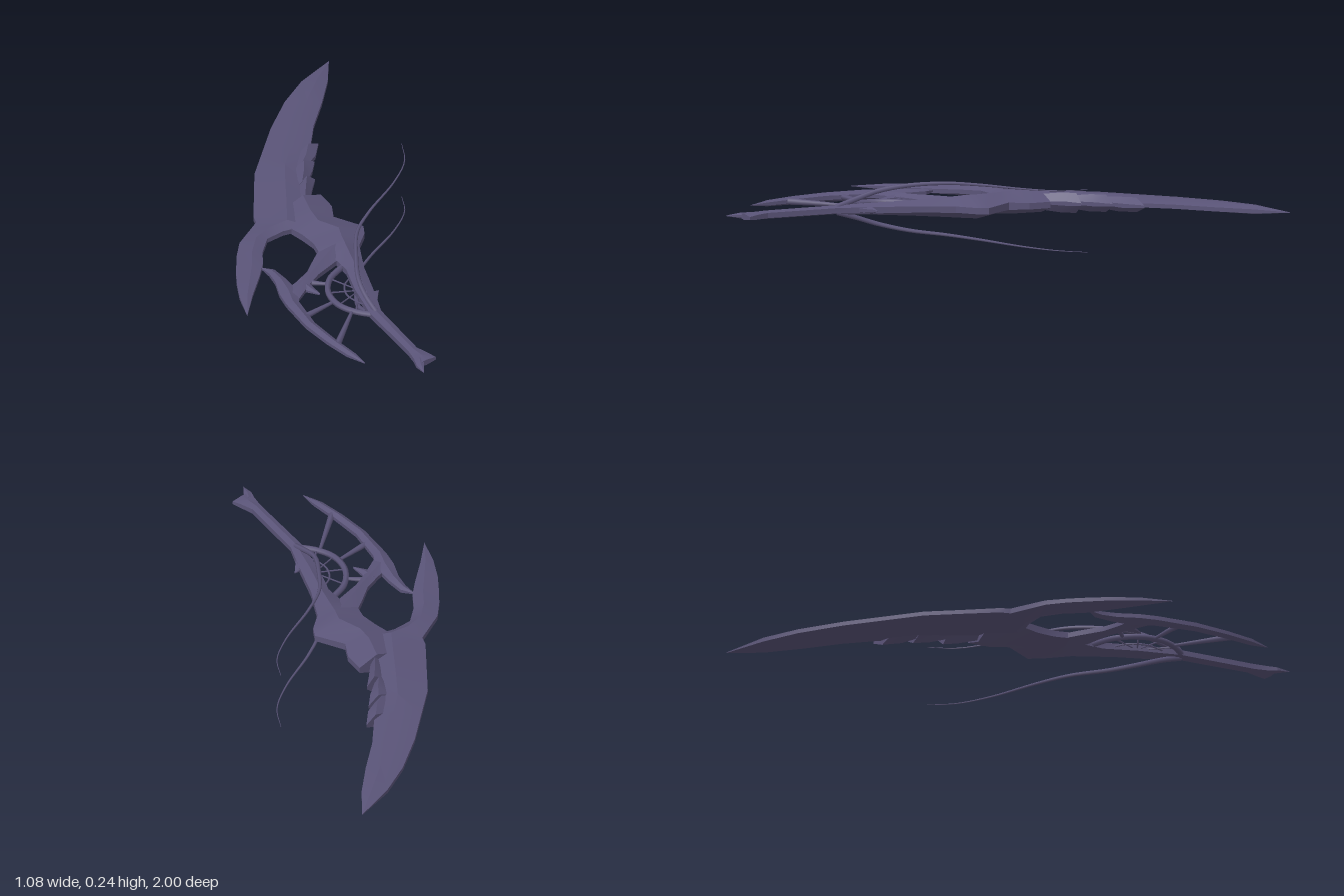
import * as THREE from 'three';
import { toCreasedNormals } from 'three/addons/utils/BufferGeometryUtils.js';

const MID = 0.12; // height of the weapon's flat plane

// Ridged plate: each row is [leftX, leftZ, rightX, rightZ, edge half-thickness, ridge half-thickness]
function ridgedPlate(rows, ridge = 0.5) {
  const pos = [];
  const idx = [];
  for (const [lx, lz, rx, rz, e, h] of rows) {
    const mx = lx + (rx - lx) * ridge;
    const mz = lz + (rz - lz) * ridge;
    pos.push(lx, MID + e, lz, mx, MID + h, mz, rx, MID + e, rz);
    pos.push(rx, MID - e, rz, mx, MID - h, mz, lx, MID - e, lz);
  }
  const last = (rows.length - 1) * 6;
  for (let i = 0; i < last; i += 6) {
    for (let j = 0; j < 6; j++) {
      const k = (j + 1) % 6;
      idx.push(i + j, i + 6 + j, i + 6 + k, i + j, i + 6 + k, i + k);
    }
  }
  for (let j = 1; j < 5; j++) idx.push(0, j, j + 1, last, last + j + 1, last + j);
  const g = new THREE.BufferGeometry();
  g.setAttribute('position', new THREE.Float32BufferAttribute(pos, 3));
  g.setIndex(idx);
  return toCreasedNormals(g, 0.35);
}

// Tube through points whose radius runs from r0 to r1
function taperedTube(points, r0, r1, segments = 16, sides = 6) {
  const curve = new THREE.CatmullRomCurve3(points.map((p) => new THREE.Vector3(...p)));
  const g = new THREE.TubeGeometry(curve, segments, 1, sides, false);
  const p = g.attributes.position;
  const v = new THREE.Vector3();
  for (let i = 0; i < p.count; i++) {
    const t = Math.floor(i / (sides + 1)) / segments;
    const c = curve.getPointAt(t);
    v.fromBufferAttribute(p, i).sub(c).multiplyScalar(r0 + (r1 - r0) * t).add(c);
    p.setXYZ(i, v.x, v.y, v.z);
  }
  return g;
}

export function createModel() {
  const group = new THREE.Group();
  const metal = new THREE.MeshStandardMaterial({ color: 0x5a5478 });
  metal.name = 'dusk violet metal';
  const add = (name, geometry) => {
    const mesh = new THREE.Mesh(geometry, metal);
    mesh.name = name;
    group.add(mesh);
  };
  const flat = (pts) => pts.map(([x, z]) => [x, MID, z]);

  // Main blade sweeping into the rear horn
  add('blade', ridgedPlate([
    [0.54, -1, 0.54, -1, 0.001, 0.001],
    [0.38, -0.92, 0.47, -0.88, 0.008, 0.017],
    [0.26, -0.83, 0.38, -0.76, 0.008, 0.019],
    [0.13, -0.7, 0.28, -0.64, 0.008, 0.02],
    [0.03, -0.58, 0.2, -0.52, 0.008, 0.021],
    [-0.07, -0.46, 0.13, -0.43, 0.008, 0.024],
    [-0.14, -0.335, 0.08, -0.33, 0.008, 0.027],
    [-0.21, -0.21, 0.03, -0.22, 0.009, 0.03],
    [-0.22, -0.17, -0.06, -0.06, 0.01, 0.03],
    [-0.26, -0.14, -0.16, -0.07, 0.01, 0.026],
    [-0.34, -0.08, -0.235, -0.055, 0.009, 0.024],
    [-0.39, -0.01, -0.29, 0.01, 0.008, 0.02],
    [-0.43, 0.06, -0.33, 0.085, 0.008, 0.017],
    [-0.47, 0.135, -0.38, 0.15, 0.007, 0.014],
    [-0.51, 0.235, -0.46, 0.245, 0.006, 0.012],
    [-0.54, 0.35, -0.54, 0.35, 0.001, 0.001],
  ], 0.6));

  // Overlapping toothed scales on the inner edge
  const scales = [
    [0.13, -0.5, 0.24, -0.53, 0.19, -0.46, 0.06, -0.4, 0.12, -0.41],
    [0.06, -0.41, 0.17, -0.43, 0.13, -0.375, 0.03, -0.31, 0.07, -0.31],
    [0.03, -0.31, 0.115, -0.325, 0.08, -0.28, -0.02, -0.2, 0.03, -0.21],
  ];
  scales.forEach(([ax, az, bx, bz, cx, cz, dx, dz, ex, ez], i) => {
    const h = 0.028 + i * 0.005;
    add('scale' + (i + 1), ridgedPlate([
      [ax, az, bx, bz, 0.005, h],
      [(ax + dx) / 2, (az + dz) / 2, cx, cz, 0.008, h],
      [dx, dz, ex, ez, 0.006, h - 0.008],
    ], 0.55));
  });

  // Hub, arm and grip
  add('hubAndGrip', ridgedPlate([
    [-0.08, -0.2, 0.08, -0.215, 0.012, 0.04],
    [-0.13, -0.08, 0.08, -0.13, 0.012, 0.044],
    [-0.11, -0.01, 0.05, -0.06, 0.014, 0.04],
    [-0.1, 0.06, 0.12, 0.045, 0.012, 0.046],
    [-0.11, 0.12, 0.1, 0.09, 0.012, 0.043],
    [-0.08, 0.18, 0.045, 0.15, 0.012, 0.038],
    [-0.075, 0.27, -0.01, 0.29, 0.012, 0.03],
    [-0.11, 0.4, -0.045, 0.42, 0.012, 0.024],
    [-0.125, 0.5, -0.068, 0.5, 0.011, 0.02],
    [-0.135, 0.56, -0.09, 0.57, 0.01, 0.017],
    [-0.13, 0.86, -0.09, 0.85, 0.01, 0.016],
    [-0.135, 0.91, -0.07, 0.9, 0.009, 0.015],
    [-0.145, 0.95, -0.055, 0.935, 0.006, 0.012],
  ]));
  add('pommelProng', ridgedPlate([
    [-0.137, 0.92, -0.095, 0.92, 0.006, 0.013],
    [-0.145, 0.95, -0.11, 0.945, 0.006, 0.011],
    [-0.14, 1, -0.14, 1, 0.001, 0.001],
  ]));
  add('armSpike', ridgedPlate([
    [-0.025, 0.435, -0.025, 0.435, 0.001, 0.001],
    [-0.07, 0.44, -0.04, 0.455, 0.006, 0.013],
    [-0.085, 0.47, -0.065, 0.495, 0.006, 0.012],
  ]));

  // Branch from the hub to the guard, with its small hook
  add('guardBranch', ridgedPlate([
    [-0.04, 0.05, 0.02, 0.16, 0.01, 0.034],
    [-0.14, 0.14, -0.08, 0.2, 0.01, 0.028],
    [-0.21, 0.21, -0.18, 0.245, 0.009, 0.022],
    [-0.28, 0.25, -0.245, 0.29, 0.008, 0.02],
    [-0.35, 0.28, -0.32, 0.35, 0.006, 0.015],
  ]));
  add('branchHook', ridgedPlate([
    [-0.28, 0.25, -0.235, 0.25, 0.006, 0.015],
    [-0.268, 0.31, -0.235, 0.3, 0.005, 0.012],
    [-0.235, 0.355, -0.23, 0.35, 0.002, 0.003],
  ]));

  // Crescent knuckle guard
  add('crescentGuard', ridgedPlate([
    [-0.345, 0.09, -0.345, 0.09, 0.002, 0.002],
    [-0.338, 0.15, -0.308, 0.135, 0.007, 0.014],
    [-0.345, 0.21, -0.3, 0.21, 0.008, 0.018],
    [-0.37, 0.29, -0.3, 0.3, 0.008, 0.02],
    [-0.38, 0.36, -0.33, 0.37, 0.008, 0.02],
    [-0.383, 0.52, -0.345, 0.52, 0.008, 0.018],
    [-0.365, 0.65, -0.328, 0.66, 0.007, 0.016],
    [-0.34, 0.76, -0.308, 0.77, 0.006, 0.012],
    [-0.305, 0.84, -0.303, 0.835, 0.001, 0.001],
  ]));

  // Finger ring, struts and web
  const ring = [[-0.07, 0.23], [-0.15, 0.28], [-0.2, 0.36], [-0.205, 0.45], [-0.17, 0.52], [-0.12, 0.57]];
  add('fingerRing', taperedTube(flat(ring), 0.012, 0.012, 20));
  const struts = [
    [[-0.365, 0.46], [-0.205, 0.42]],
    [[-0.335, 0.68], [-0.18, 0.51]],
    [[-0.25, 0.25], [-0.17, 0.31]],
  ];
  struts.forEach((s, i) => add('guardStrut' + (i + 1), taperedTube(flat(s), 0.013, 0.006, 4)));
  ring.slice(1, 5).forEach((p, i) =>
    add('webThread' + (i + 1), taperedTube(flat([p, [-0.09, 0.4]]), 0.004, 0.003, 2, 4)));
  const webArc = [[-0.08, 0.31], [-0.12, 0.34], [-0.145, 0.4], [-0.135, 0.46], [-0.11, 0.51]];
  add('webArc', taperedTube(flat(webArc), 0.004, 0.004, 12, 4));

  // Paired whip-like tendrils above and below
  for (const side of [1, -1]) {
    const path = [
      [-0.11, 0.01, 0.57], [-0.112, 0.035, 0.49], [-0.1, 0.062, 0.41], [-0.05, 0.086, 0.3],
      [0.02, 0.098, 0.18], [0.12, 0.104, 0.09], [0.29, 0.11, -0.03], [0.39, 0.114, -0.13], [0.432, 0.119, -0.23],
    ].map(([x, y, z]) => [x, MID + side * y, z]);
    add(side > 0 ? 'upperTendril' : 'lowerTendril', taperedTube(path, 0.011, 0.001, 32));
  }
  return group;
}
